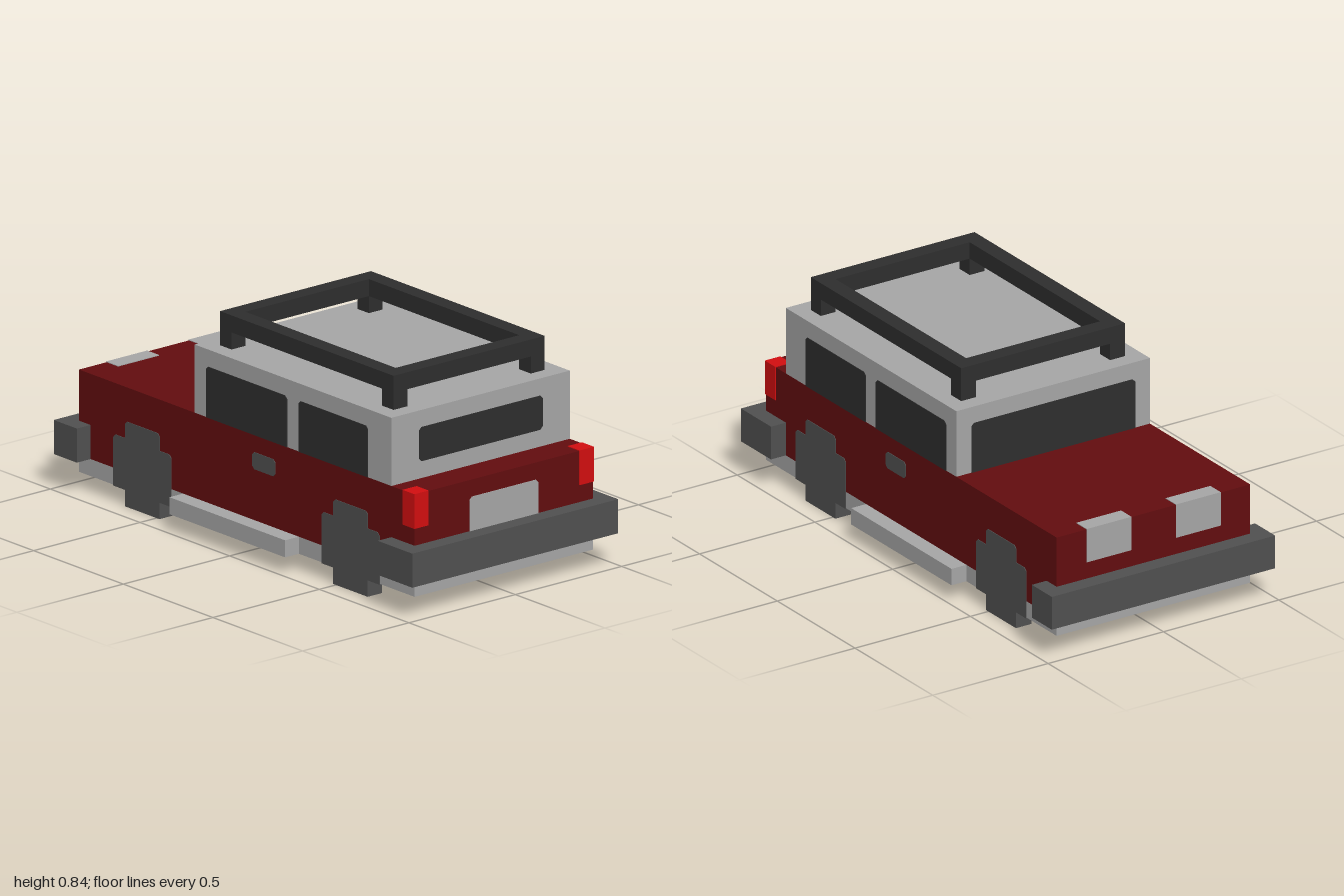
import * as THREE from 'three';

const U = 2 / 31;      // one block of the grid
const E = 0.04;        // how far painted details stand proud, in blocks
const C = 0.18;        // clipped corner, in blocks

const mat = (name, color) => {
  const m = new THREE.MeshStandardMaterial({ color });
  m.name = name;
  return m;
};

export function createModel() {
  const red = mat('darkRed', 0x620d0f);
  const silver = mat('lightGrey', 0xa6a6a6);
  const rubber = mat('midGrey', 0x505050);
  const dark = mat('charcoal', 0x2e2e2e);
  const lamp = mat('brightRed', 0xd20e10);

  const car = new THREE.Group();
  car.name = 'car';

  const add = (name, geometry, material) => {
    const mesh = new THREE.Mesh(geometry, material);
    mesh.name = name;
    car.add(mesh);
    return mesh;
  };

  // Box between two corners, given in blocks
  const box = (name, material, x0, x1, y0, y1, z0, z1) => {
    const g = new THREE.BoxGeometry((x1 - x0) * U, (y1 - y0) * U, (z1 - z0) * U);
    g.translate((x0 + x1) * U / 2, (y0 + y1) * U / 2, (z0 + z1) * U / 2);
    return add(name, g, material);
  };

  // Thin panel with clipped corners; lower corners may stay square
  const panel = (a0, a1, b0, b1, squareBase = false) => {
    const c = squareBase ? 0 : C;
    const pts = [[a0 + c, b0], [a1 - c, b0], [a1, b0 + c], [a1, b1 - C],
      [a1 - C, b1], [a0 + C, b1], [a0, b1 - C], [a0, b0 + c]];
    const shape = new THREE.Shape(pts.map(([a, b]) => new THREE.Vector2(a * U, b * U)));
    return new THREE.ExtrudeGeometry(shape, { depth: 2 * E * U, bevelEnabled: false })
      .translate(0, 0, -E * U);
  };

  // Main volumes
  box('chassis', silver, -14.5, 14.5, 1, 2, -6.5, 6.5);
  box('body', red, -14.5, 14.5, 2, 7, -6.5, 6.5);
  box('cabin', silver, -4.5, 12.5, 7, 11, -6.5, 6.5);
  box('frontBumper', rubber, -15.5, -13.5, 2, 4, -7.5, 7.5);
  box('rearBumper', rubber, 12.5, 15.5, 2, 4, -7.5, 7.5);
  add('underbodyPan', panel(-13.5, 13.5, -5.5, 5.5).rotateX(Math.PI / 2).translate(0, U, 0), red);

  // Windscreen, rear window and number plate
  const across = (name, material, x, turn, ...size) =>
    add(name, panel(...size).rotateY(turn * Math.PI / 2).translate(x * U, 0, 0), material);
  across('windscreen', dark, -4.5, -1, -5.5, 5.5, 7, 10, true);
  across('rearWindow', dark, 12.5, 1, -4.5, 4.5, 8, 10);
  across('numberPlate', silver, 14.5, 1, -2.5, 2.5, 4, 6, true);

  // Stepped wheel outline: wide middle, narrow top and bottom
  const wheelPoints = [[-1.5, 0], [1.5, 0], [1.5, 1 - E], [2.5, 1 - E], [2.5, 4 - C], [2.5 - C, 4],
    [1.5, 4], [1.5, 5 - C], [1.5 - C, 5], [-1.5 + C, 5], [-1.5, 5 - C], [-1.5, 4],
    [-2.5 + C, 4], [-2.5, 4 - C], [-2.5, 1 - E], [-1.5, 1 - E]];
  const wheelShape = new THREE.Shape(wheelPoints.map(([x, y]) => new THREE.Vector2(x * U, y * U)));
  const wheel = new THREE.ExtrudeGeometry(wheelShape, { depth: (1 + E) * U, bevelEnabled: false });

  // Parts repeated on both sides
  for (const s of [1, -1]) {
    const side = s > 0 ? 'Near' : 'Far';
    const span = (a, b) => (s > 0 ? [a, b] : [-b, -a]);
    const flat = (name, material, ...size) =>
      add(name + side, panel(...size).translate(0, 0, s * 6.5 * U), material);

    flat('frontSideWindow', dark, -3.5, 3.5, 7, 10, true);
    flat('rearSideWindow', dark, 4.5, 10.5, 7, 10, true);
    flat('doorHandle', rubber, 0.5, 2.5, 5, 6);
    box('sideStep' + side, silver, -5.5, 4.5, 1, 2, ...span(6.5, 7.5));
    box('headlight' + side, silver, -14.5 - E, -13.5, 5, 7 + E, ...span(1.5, 4.5));
    box('tailLight' + side, lamp, 13.5, 14.5 + E, 5, 7 + E, ...span(5.5, 6.5 + E));

    for (const x of [-9, 9]) {
      const mesh = add((x < 0 ? 'frontWheel' : 'rearWheel') + side, wheel, rubber);
      mesh.position.set(x * U, 0, (s > 0 ? 5.5 : -6.5 - E) * U);
    }

    // Roof rack rails and posts
    box('rackRail' + side, dark, -3.5, 11.5, 12, 13, ...span(4.5, 5.5));
    for (const x of [-3.5, 10.5]) box('rackPost' + side, dark, x, x + 1, 11, 12, ...span(4.5, 5.5));
  }
  for (const x of [-3.5, 10.5]) box('rackCrossbar', dark, x, x + 1, 12, 13, -4.5, 4.5);

  return car;
}
